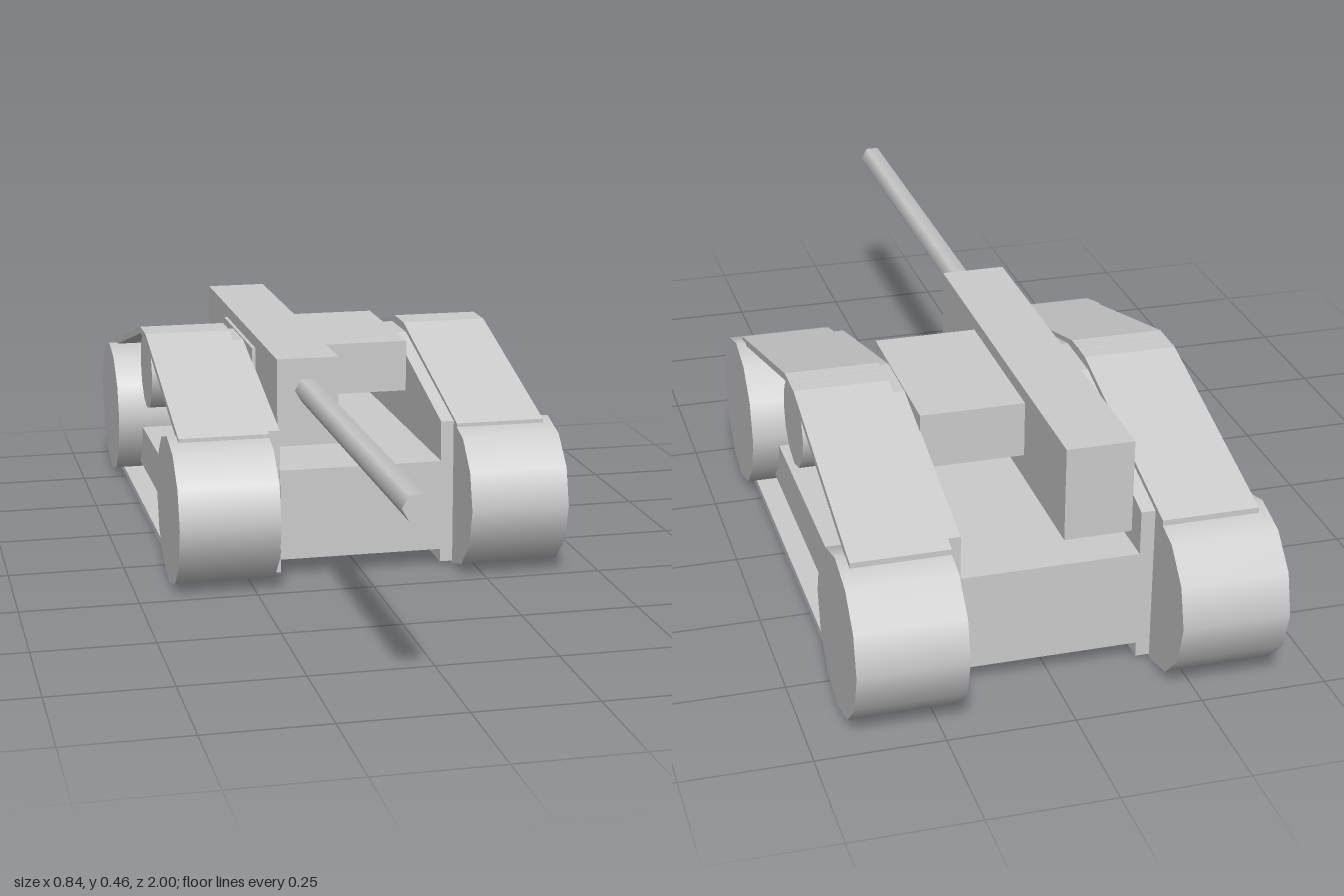
import * as THREE from 'three';

const material = new THREE.MeshStandardMaterial({ color: 0xcccccc });

export function createModel() {
  const model = new THREE.Group();
  model.name = 'tank';

  const add = (name, geometry) => {
    const mesh = new THREE.Mesh(geometry, material);
    mesh.name = name;
    model.add(mesh);
  };

  // Box given by its limits on each axis
  const box = (name, [x0, x1], [y0, y1], [z0, z1]) =>
    add(name, new THREE.BoxGeometry(x1 - x0, y1 - y0, z1 - z0)
      .translate((x0 + x1) / 2, (y0 + y1) / 2, (z0 + z1) / 2));

  // Cylinder lying across the vehicle
  const drum = (name, [x0, x1], y, z, radius) =>
    add(name, new THREE.CylinderGeometry(radius, radius, x1 - x0, 12)
      .rotateZ(Math.PI / 2).translate((x0 + x1) / 2, y, z));

  // Side outline of [z, y] points, extruded between two x positions
  const slab = (name, [x0, x1], points) => {
    const shape = new THREE.Shape(points.map(([z, y]) => new THREE.Vector2(z, y)));
    add(name, new THREE.ExtrudeGeometry(shape, { depth: x1 - x0, bevelEnabled: false })
      .rotateY(-Math.PI / 2).translate(x1, 0, 0));
  };

  // Hull, turret block and offset gun housing
  box('hull', [-0.178, 0.178], [0.037, 0.235], [-0.83, 0.135]);
  box('turret', [-0.178, 0.178], [0.32, 0.435], [-0.54, -0.18]);
  box('gunHousing', [-0.17, -0.035], [0.27, 0.462], [-0.8, 0.067]);

  // Six-sided barrel
  add('barrel', new THREE.CylinderGeometry(0.028, 0.028, 0.95, 6, 1, false, Math.PI / 6)
    .rotateX(Math.PI / 2).translate(-0.103, 0.392, 0.525));

  // Upper track run: centreline of the top surface from front to rear
  const run = [[0.155, 0.322], [-0.315, 0.45], [-0.4, 0.45], [-0.87, 0.325]];
  const ribbon = [...run, ...run.map(([z, y]) => [z, y - 0.015]).reverse()];

  // Inner side plate outline
  const plate = [[0.13, 0.007], [0.13, 0.322], [-0.29, 0.432],
    [-0.42, 0.432], [-0.83, 0.325], [-0.83, 0.007]];

  for (const [side, s] of [['left', 1], ['right', -1]]) {
    const span = (a, b) => (s > 0 ? [a, b] : [-b, -a]);
    slab(side + 'SidePlate', span(0.177, 0.206), plate);
    drum(side + 'FrontWheel', span(0.205, 0.418), 0.161, 0.124, 0.161);
    drum(side + 'RearWheel', span(0.205, 0.418), 0.161, -0.839, 0.161);
    drum(side + 'TopRoller', span(0.205, 0.392), 0.36, -0.357, 0.092);
    slab(side + 'UpperTrack', span(0.205, 0.398), ribbon);
    box(side + 'LowerTrack', span(0.205, 0.398), [0.004, 0.02], [-0.84, 0.125]);
    box(side + 'Sponson', span(0.205, 0.36), [0.04, 0.14], [-0.83, 0.115]);
  }

  return model;
}
